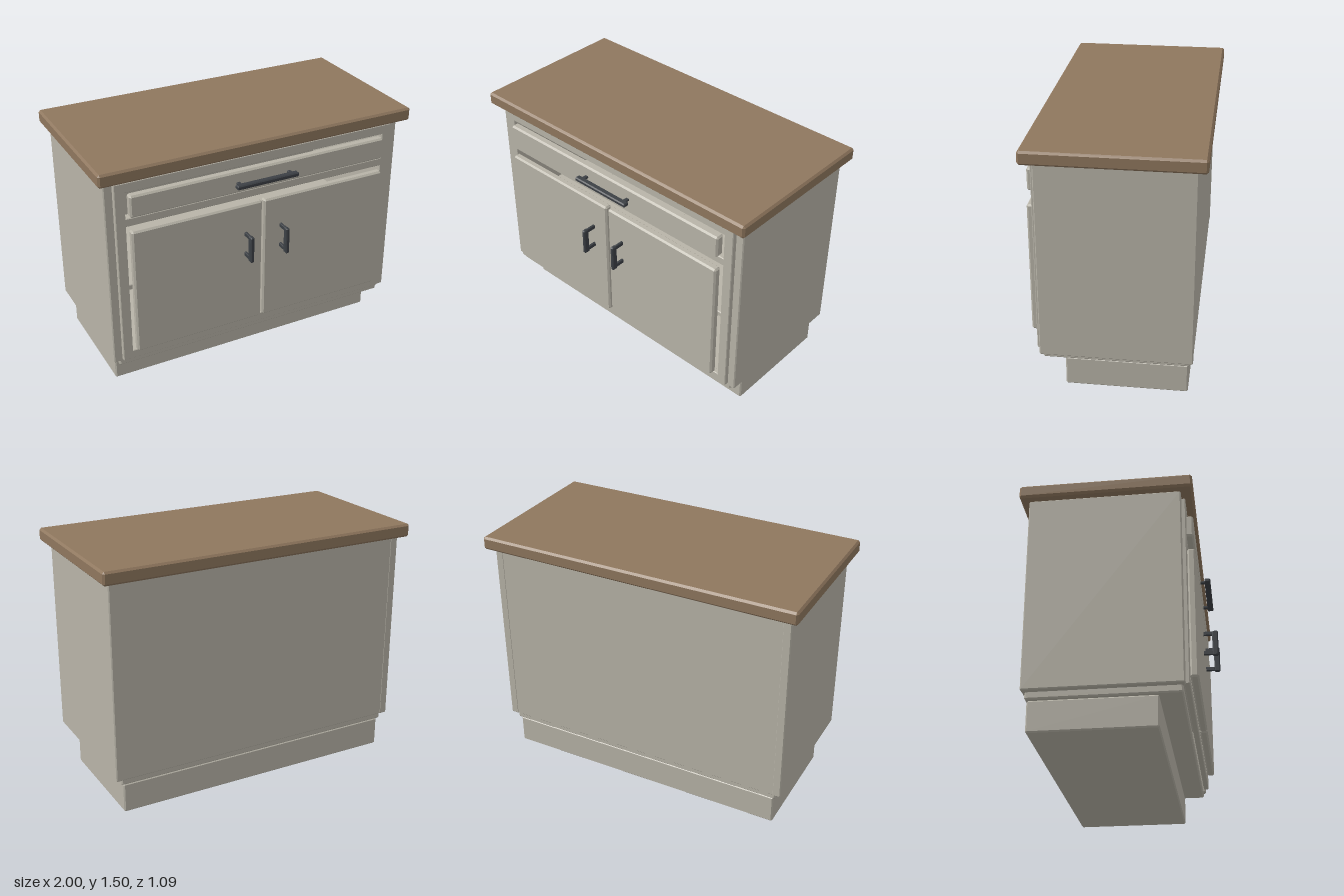
import * as THREE from 'three';
import { ConvexGeometry } from 'three/addons/geometries/ConvexGeometry.js';

const paint = new THREE.MeshStandardMaterial({ color: 0xb8b4a8 });
const wood = new THREE.MeshStandardMaterial({ color: 0x8f775e });
const metal = new THREE.MeshStandardMaterial({ color: 0x3c4045 });

// Box between two corners with all edges chamfered by c
function block(name, material, [x0, x1], [y0, y1], [z0, z1], c = 0.008) {
  const half = [(x1 - x0) / 2, (y1 - y0) / 2, (z1 - z0) / 2];
  const points = [];
  for (const sx of [-1, 1]) for (const sy of [-1, 1]) for (const sz of [-1, 1]) {
    for (let axis = 0; axis < 3; axis++) {
      const p = half.map((h, i) => (i === axis ? h : h - c));
      points.push(new THREE.Vector3(p[0] * sx, p[1] * sy, p[2] * sz));
    }
  }
  const mesh = new THREE.Mesh(new ConvexGeometry(points), material);
  mesh.position.set((x0 + x1) / 2, (y0 + y1) / 2, (z0 + z1) / 2);
  mesh.name = name;
  return mesh;
}

// Rectangle outline, as a Shape or a hole Path
function rect(Type, x0, x1, y0, y1) {
  return new Type([[x0, y0], [x1, y0], [x1, y1], [x0, y1]].map(p => new THREE.Vector2(...p)));
}

// Front frame with one drawer opening and one door opening
function faceFrame() {
  const b = 0.004;
  const shape = rect(THREE.Shape, -0.9 + b, 0.9 - b, 0.24 + b, 1.4 - b);
  shape.holes.push(
    rect(THREE.Path, -0.84 - b, 0.84 + b, 1.18 - b, 1.34 + b),
    rect(THREE.Path, -0.84 - b, 0.84 + b, 0.295 - b, 1.13 + b),
  );
  const geometry = new THREE.ExtrudeGeometry(shape, {
    depth: 0.025, bevelEnabled: true, bevelSize: b, bevelThickness: b, bevelSegments: 1,
  });
  const mesh = new THREE.Mesh(geometry, paint);
  mesh.position.z = 0.381;
  mesh.name = 'faceFrame';
  return mesh;
}

export function createModel() {
  const model = new THREE.Group();
  const add = (...args) => model.add(block(...args));

  // Base and carcass
  add('toeKick', paint, [-0.9, 0.9], [0, 0.183], [-0.465, 0.247]);
  add('bottomBoard', paint, [-0.915, 0.915], [0.185, 0.24], [-0.475, 0.375]);
  add('backPanel', paint, [-0.94, 0.94], [0.225, 1.42], [-0.49, -0.45], 0.006);
  add('shelf', paint, [-0.91, 0.91], [0.67, 0.705], [-0.46, 0.34], 0.005);
  for (const s of [-1, 1]) {
    const x = s < 0 ? [-0.953, -0.9] : [0.9, 0.953];
    add(s < 0 ? 'rightSide' : 'leftSide', paint, x, [0.225, 1.42], [-0.492, 0.388], 0.006);
  }
  model.add(faceFrame());
  add('topRail', paint, [-0.905, 0.905], [1.38, 1.42], [0.33, 0.385], 0.004);

  // Countertop
  add('countertop', wood, [-1, 1], [1.42, 1.5], [-0.543, 0.457], 0.012);

  // Drawer
  add('drawerFront', paint, [-0.825, 0.825], [1.197, 1.332], [0.395, 0.448], 0.01);
  const drawerHandle = new THREE.Group();
  drawerHandle.name = 'drawerHandle';
  drawerHandle.add(block('grip', metal, [-0.2, 0.2], [1.248, 1.274], [0.475, 0.512], 0.006));
  for (const x of [-0.165, 0.165]) {
    drawerHandle.add(block('post', metal, [x - 0.012, x + 0.012], [1.254, 1.268], [0.44, 0.48], 0.003));
  }
  model.add(drawerHandle);

  // Pair of doors with upright handles
  for (const s of [-1, 1]) {
    const side = s < 0 ? 'right' : 'left';
    add(side + 'Door', paint, s < 0 ? [-0.825, -0.008] : [0.004, 0.825], [0.31, 1.113], [0.408, 0.455], 0.01);
    const handle = new THREE.Group();
    handle.name = side + 'DoorHandle';
    const x = s * 0.118;
    handle.add(block('grip', metal, [x - 0.012, x + 0.012], [0.768, 0.937], [0.508, 0.545], 0.006));
    for (const y of [0.787, 0.921]) {
      handle.add(block('post', metal, [x - 0.008, x + 0.008], [y - 0.013, y + 0.013], [0.448, 0.512], 0.003));
    }
    model.add(handle);
  }
  return model;
}
